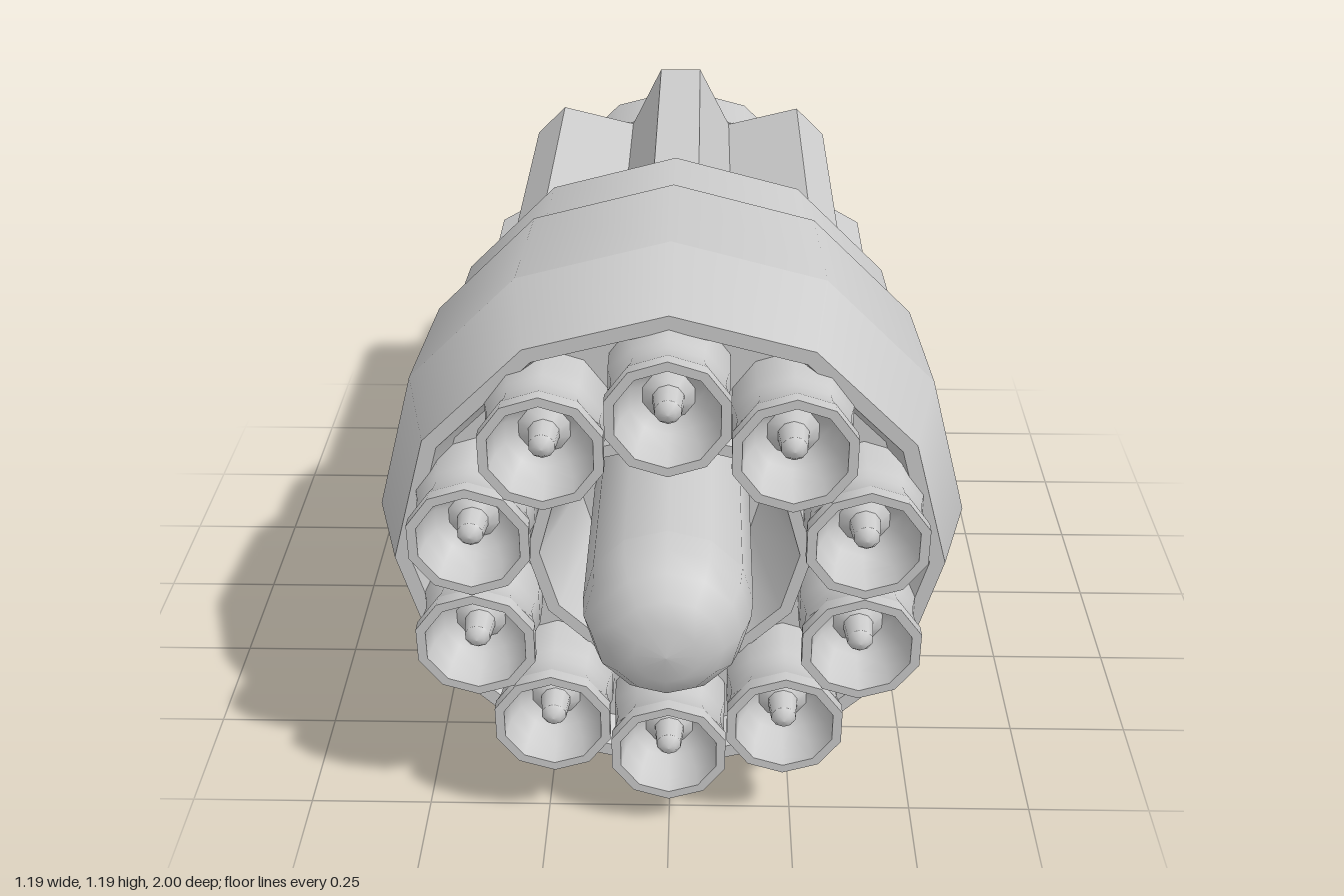
import * as THREE from 'three';
import { mergeGeometries } from 'three/addons/utils/BufferGeometryUtils.js';

const CENTRE_Y = 0.597;
const material = new THREE.MeshStandardMaterial({ color: 0xcccccc });

// Turned part about z. Each band is a list of [radius, z], smooth within itself and creased to the next.
function turned(name, sides, bands) {
  const parts = bands.map((band) =>
    new THREE.LatheGeometry(band.map(([r, z]) => new THREE.Vector2(r, z)), sides));
  const mesh = new THREE.Mesh(mergeGeometries(parts).rotateX(Math.PI / 2), material);
  mesh.name = name;
  return mesh;
}

// Splits a profile into hard-edged bands.
const hard = (points) => points.slice(1).map((p, i) => [points[i], p]);

// Trapezoid rib running along the rear core, with a sloped back end.
function ribGeometry() {
  const shape = new THREE.Shape([
    [-0.128, 0.3], [0.128, 0.3], [0.05, 0.475], [-0.05, 0.475],
  ].map(([x, y]) => new THREE.Vector2(x, y)));
  const geometry = new THREE.ExtrudeGeometry(shape, { depth: 0.79, bevelEnabled: false });
  geometry.translate(0, 0, -0.84);
  const pos = geometry.attributes.position;
  for (let i = 0; i < pos.count; i++) {
    if (pos.getY(i) > 0.4 && pos.getZ(i) < -0.5) pos.setZ(i, -0.78);
  }
  geometry.computeVertexNormals();
  return geometry;
}

export function createModel() {
  const model = new THREE.Group();
  model.name = 'clusterThruster';
  model.position.y = CENTRE_Y;

  // Housing: rear plug, core, cone, drum, front recess and central bowl
  model.add(turned('housing', 12, hard([
    [0, -1], [0.342, -1], [0.342, -0.84], [0.315, -0.84], [0.315, -0.26],
    [0.533, -0.045], [0.541, 0.16], [0.575, 0.2], [0.593, 0.51], [0.535, 0.7],
    [0.505, 0.7], [0.475, 0.64], [0.285, 0.64], [0.28, 0.68], [0.255, 0.68],
    [0.19, 0.45], [0, 0.45],
  ])));

  // Central dome
  model.add(turned('centralDome', 12, [
    [[0.16, 0.44], [0.16, 0.83]],
    [[0.16, 0.83], [0.155, 0.88], [0.138, 0.93], [0.105, 0.97], [0.06, 0.993], [0, 1]],
  ]));

  // Ribs around the rear core
  const rib = ribGeometry();
  for (let i = 0; i < 8; i++) {
    const mesh = new THREE.Mesh(rib, material);
    mesh.name = `rib${i + 1}`;
    mesh.rotation.z = (i * Math.PI) / 4;
    model.add(mesh);
  }

  // Ring of small nozzles, each a waisted cup with a pin
  const nozzle = turned('nozzle', 10, [
    [[0.118, 0.62], [0.118, 0.7], [0.112, 0.725], [0.109, 0.75], [0.112, 0.775], [0.119, 0.795]],
    [[0.119, 0.795], [0.119, 0.82]],
    [[0.119, 0.82], [0.1, 0.82]],
    [[0.1, 0.82], [0.092, 0.775], [0.074, 0.745], [0.05, 0.73]],
    [[0.05, 0.73], [0.03, 0.745]],
    [[0.03, 0.745], [0.025, 0.79]],
    [[0.025, 0.79], [0.015, 0.802], [0, 0.805]],
  ]);
  for (let i = 0; i < 10; i++) {
    const angle = (i * Math.PI) / 5;
    const mesh = nozzle.clone();
    mesh.name = `nozzle${i + 1}`;
    mesh.position.set(0.389 * Math.sin(angle), 0.389 * Math.cos(angle), 0);
    mesh.rotation.z = -angle;
    model.add(mesh);
  }

  const root = new THREE.Group();
  root.add(model);
  return root;
}
